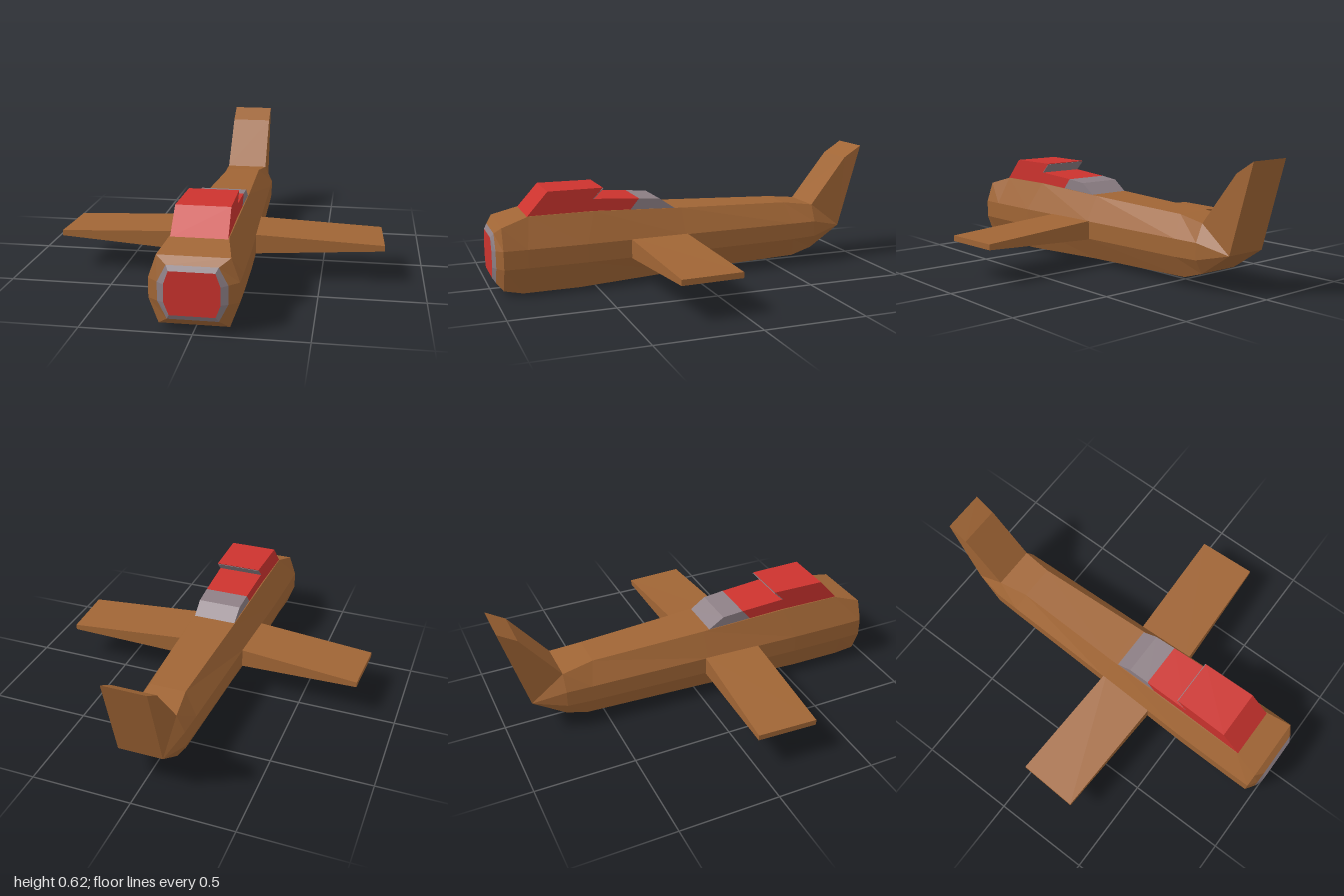
import * as THREE from 'three';

const paint = (color) => new THREE.MeshStandardMaterial({ color, flatShading: true });

export function createModel() {
  const model = new THREE.Group();
  const brown = paint(0xa06535), red = paint(0xcc332e), grey = paint(0x8d7f85);

  function add(name, geometry, material) {
    const mesh = new THREE.Mesh(geometry, material);
    mesh.name = name;
    model.add(mesh);
    return mesh;
  }

  // Eight-sided ring, counter-clockwise seen from the front
  function ring([zTop, yTop, wTop, zMid, yUp, yLow, wMid, zBot, yBot, wBot]) {
    const right = [[wBot, yBot, zBot], [wMid, yLow, zMid], [wMid, yUp, zMid], [wTop, yTop, zTop]];
    const left = right.map(([x, y, z]) => [-x, y, z]).reverse();
    return [...right, ...left];
  }

  function toGeometry(positions) {
    const g = new THREE.BufferGeometry();
    g.setAttribute('position', new THREE.Float32BufferAttribute(positions, 3));
    g.computeVertexNormals();
    return g;
  }

  // Skin over successive rings, running from front to back
  function loft(stations) {
    const rings = stations.map(ring), p = [];
    for (let i = 0; i < rings.length - 1; i++) {
      const a = rings[i], b = rings[i + 1];
      for (let j = 0; j < 8; j++) {
        const k = (j + 1) % 8;
        p.push(...a[j], ...b[j], ...a[k], ...b[j], ...b[k], ...a[k]);
      }
    }
    return toGeometry(p);
  }

  // Side profile of [z, y] points, extruded across x to a half width depending on z
  function prism(profile, halfWidth) {
    const shape = new THREE.Shape(profile.map(([z, y]) => new THREE.Vector2(-z, y)));
    const g = new THREE.ExtrudeGeometry(shape, { depth: 2, bevelEnabled: false });
    g.translate(0, 0, -1).rotateY(Math.PI / 2);
    const pos = g.attributes.position;
    for (let i = 0; i < pos.count; i++) pos.setX(i, pos.getX(i) * halfWidth(pos.getZ(i)));
    g.computeVertexNormals();
    return g;
  }

  // Fuselage: [zTop, yTop, wTop, zMid, yUp, yLow, wMid, zBot, yBot, wBot]
  const noseFace = [1, 0.28, 0.1, 1, 0.22, 0.14, 0.122, 1, 0.083, 0.1];
  const noseRim = [0.985, 0.302, 0.112, 0.985, 0.225, 0.14, 0.152, 0.985, 0.06, 0.112];
  const body = [
    noseRim,
    [0.955, 0.335, 0.16, 0.955, 0.23, 0.14, 0.197, 0.955, 0.027, 0.155],
    [0.82, 0.375, 0.13, 0.84, 0.23, 0.14, 0.197, 0.86, 0, 0.135],
    [0.5, 0.375, 0.126, 0.55, 0.23, 0.14, 0.193, 0.58, 0, 0.132],
    [0.04, 0.355, 0.112, 0.04, 0.23, 0.14, 0.175, 0.04, 0.026, 0.12],
    [-0.55, 0.335, 0.09, -0.58, 0.23, 0.145, 0.155, -0.6, 0.045, 0.108],
    [-0.71, 0.315, 0.11, -0.71, 0.23, 0.15, 0.15, -0.71, 0.08, 0.11],
    [-0.875, 0.19, 0.11, -0.875, 0.19, 0.19, 0.11, -0.875, 0.19, 0.11],
  ];
  add('fuselage', loft(body), brown);
  add('noseRim', loft([noseFace, noseRim]), grey);

  const face = ring(noseFace), fan = [];
  for (let j = 1; j < 7; j++) fan.push(...face[0], ...face[j], ...face[j + 1]);
  add('nosePanel', toGeometry(fan), red);

  // Upswept tail
  add('tailFin', prism([[-0.71, 0.315], [-0.905, 0.56], [-1, 0.62], [-0.875, 0.19]],
    (z) => (z < -0.9 ? 0.107 : 0.11)), brown);

  // Canopy with a stepped rear edge
  const canopyWidth = (z) => THREE.MathUtils.mapLinear(z, 0.07, 0.83, 0.11, 0.127);
  add('canopy', prism([[0.83, 0.37], [0.725, 0.487], [0.45, 0.487], [0.5, 0.435],
    [0.265, 0.42], [0.315, 0.36]], canopyWidth), red);
  add('canopyStep', prism([[0.451, 0.484], [0.501, 0.435], [0.496, 0.435], [0.446, 0.484]],
    canopyWidth), grey);
  add('canopyRear', prism([[0.265, 0.42], [0.155, 0.41], [0.07, 0.352], [0.315, 0.36]],
    canopyWidth), grey);

  // Tapered wings: a box whose root and tip corners are placed separately
  for (const side of [1, -1]) {
    const g = new THREE.BoxGeometry(1, 1, 1).toNonIndexed();
    const pos = g.attributes.position;
    for (let i = 0; i < pos.count; i++) {
      const tip = pos.getX(i) * side > 0, top = pos.getY(i) > 0, lead = pos.getZ(i) > 0;
      const x = tip ? (lead ? 0.803 : 0.79) : 0.14;
      const y = tip ? (top ? 0.198 : 0.17) : (top ? 0.234 : 0.134);
      const z = tip ? (lead ? 0.3 : 0) : (lead ? 0.328 : 0.03);
      pos.setXYZ(i, x * side, y, z);
    }
    g.computeVertexNormals();
    add(side > 0 ? 'leftWing' : 'rightWing', g, brown);
  }
  return model;
}
